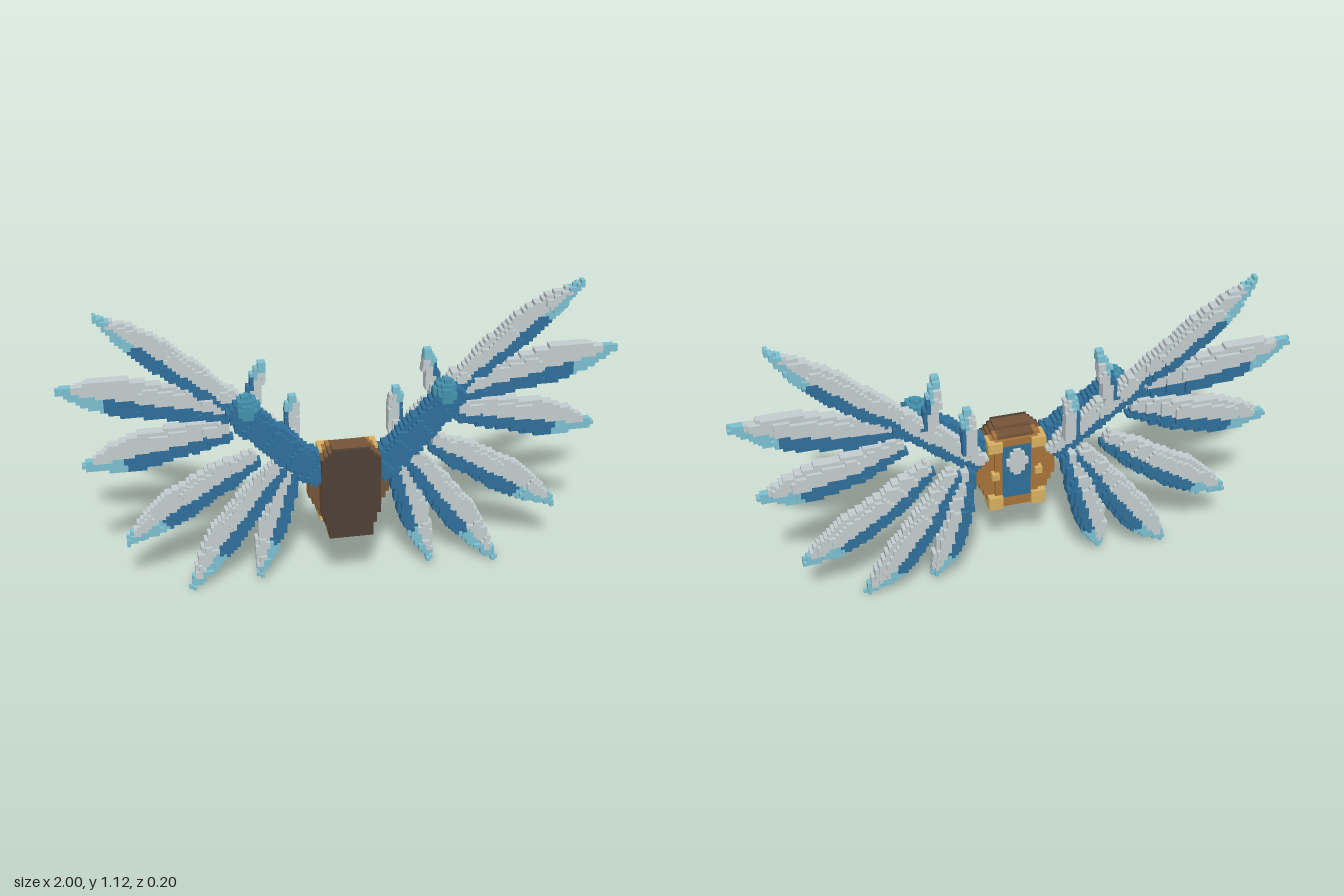
import * as THREE from 'three';

const V = 2 / 150; // voxel edge
const palette = [
  ['paleSteel', 0xc2ccce], ['deepBlue', 0x2f6f9a], ['iceBlue', 0x7cc0d0], ['teal', 0x4391ac],
  ['darkBrown', 0x4f4034], ['brown', 0x755439], ['copper', 0xa8733a], ['gold', 0xd6b060],
];
const [GRAY, BLUE, ICE, TEAL, DARK, BROWN, COPPER, GOLD] = palette.keys();
const NONE = -1;

// piecewise linear lookup in [[t, value], ...]
function ramp(points, t) {
  if (t <= points[0][0]) return points[0][1];
  for (let i = 1; i < points.length; i++) {
    const [t0, a] = points[i - 1], [t1, b] = points[i];
    if (t <= t1) return a + (b - a) * (t - t0) / (t1 - t0);
  }
  return points[points.length - 1][1];
}

// turns a rule (x, y, z) -> colour index into a blocky mesh of its exposed faces
function voxelMesh(name, materials, [x0, x1], [y0, y1], rule) {
  const cells = new Map();
  const key = (c) => c.join();
  for (let i = Math.floor(x0 / V); i < Math.ceil(x1 / V); i++)
    for (let j = Math.max(0, Math.floor(y0 / V)); j < Math.ceil(y1 / V); j++)
      for (let k = -7; k <= 7; k++) {
        const colour = rule((i + 0.5) * V, (j + 0.5) * V, k * V);
        if (colour !== NONE) cells.set(key([i, j, k]), { c: [i, j, k], colour });
      }
  const buckets = palette.map(() => []);
  for (const { c, colour } of cells.values())
    for (let axis = 0; axis < 3; axis++)
      for (const side of [1, -1]) {
        const next = [...c];
        next[axis] += side;
        if (cells.has(key(next))) continue;
        const corners = [[0, 0], [1, 0], [1, 1], [0, 1]].map(([u, v]) => {
          const p = [...c];
          if (side > 0) p[axis] += 1;
          p[(axis + 1) % 3] += u;
          p[(axis + 2) % 3] += v;
          return [p[0] * V, p[1] * V, (p[2] - 0.5) * V];
        });
        if (side < 0) corners.reverse();
        for (const n of [0, 1, 2, 0, 2, 3]) buckets[colour].push(...corners[n]);
      }
  const geometry = new THREE.BufferGeometry();
  geometry.setAttribute('position', new THREE.Float32BufferAttribute(buckets.flat(), 3));
  let start = 0;
  buckets.forEach((b, m) => {
    if (b.length) geometry.addGroup(start, b.length / 3, m);
    start += b.length / 3;
  });
  geometry.computeVertexNormals();
  const mesh = new THREE.Mesh(geometry, materials);
  mesh.name = name;
  return mesh;
}

// blade along a line: the profile gives half width, the z curve bends it
function bladeRule({ from, to, width, outline, zCurve, depth, paint }) {
  const dx = to[0] - from[0], dy = to[1] - from[1], len = Math.hypot(dx, dy);
  return (x, y, z) => {
    const px = x - from[0], py = y - from[1];
    const u = (px * dx + py * dy) / (len * len);
    if (u < 0 || u > 1) return NONE;
    const v = (py * dx - px * dy) / len; // positive on the upper, outer edge
    const half = Math.max(0.009, width * ramp(outline, u));
    if (Math.abs(v) > half) return NONE;
    const thick = ramp(depth, u) * (Math.abs(v) > half * 0.75 ? 0.75 : 1);
    if (Math.abs(z - ramp(zCurve, u)) > thick) return NONE;
    return paint(u, v / half);
  };
}

const featherOutline = [[0, 0.5], [0.25, 0.85], [0.6, 1], [0.8, 0.72], [1, 0.1]];
const featherDepth = [[0, 0.018], [0.3, 0.029], [0.7, 0.029], [1, 0.014]];
const featherPaint = (u, v) => {
  if (u > 0.92) return ICE;
  if (v > -0.1) return GRAY;
  return u > 0.72 ? ICE : BLUE;
};
const spikePaint = (u, v) => (u > 0.82 || (v < -0.2 && u > 0.6) ? ICE : v < -0.4 ? BLUE : GRAY);

// from, to, half width, tip z
const feathers = [
  [[0.37, 0.72], [0.85, 1.11], 0.057, -0.05],
  [[0.41, 0.72], [1.0, 0.84], 0.07, -0.055],
  [[0.41, 0.645], [0.935, 0.535], 0.068, -0.055],
  [[0.32, 0.53], [0.805, 0.21], 0.066, -0.05],
  [[0.23, 0.49], [0.575, 0.0], 0.063, -0.025],
  [[0.185, 0.49], [0.32, 0.03], 0.056, -0.025],
];
const spikes = [
  [[0.33, 0.72], [0.29, 0.905], 0.027, -0.03],
  [[0.19, 0.58], [0.185, 0.765], 0.026, -0.04],
];

function wing(name, side, materials) {
  const group = new THREE.Group();
  group.name = name;
  const add = (part, a, b, pad, rule) => {
    const xs = [side * (Math.min(a[0], b[0]) - pad), side * (Math.max(a[0], b[0]) + pad)].sort((p, q) => p - q);
    const ys = [Math.min(a[1], b[1]) - pad, Math.max(a[1], b[1]) + pad];
    group.add(voxelMesh(part, materials, xs, ys, (x, y, z) => rule(side * x, y, z)));
  };
  // long flight feathers
  feathers.forEach(([from, to, width, tipZ], i) => add(`feather${i + 1}`, from, to, 0.1, bladeRule({
    from, to, width, outline: featherOutline, depth: featherDepth, paint: featherPaint,
    zCurve: [[0, -0.035], [0.35, -0.068], [0.7, -0.07], [1, tipZ]],
  })));
  // short upright feathers on top of the arm
  spikes.forEach(([from, to, width, tipZ], i) => add(`shortFeather${i + 1}`, from, to, 0.05, bladeRule({
    from, to, width, outline: [[0, 1], [0.75, 0.95], [1, 0.3]], depth: [[0, 0.027], [1, 0.016]],
    zCurve: [[0, -0.06], [0.5, -0.07], [1, tipZ]], paint: spikePaint,
  })));
  // arm and the feathered spine behind it
  const root = [0.1, 0.485], elbow = [0.41, 0.755];
  add('arm', root, elbow, 0.08, bladeRule({
    from: root, to: elbow, width: 0.056, outline: [[0, 0.95], [0.5, 1], [0.85, 0.95], [1, 0.5]],
    zCurve: [[0, 0.045], [1, -0.005]], depth: [[0, 0.041], [1, 0.034]], paint: () => BLUE,
  }));
  const spineRoot = [0.13, 0.495], spineEnd = [0.43, 0.77];
  add('armSpine', spineRoot, spineEnd, 0.08, bladeRule({
    from: spineRoot, to: spineEnd, width: 0.046, outline: [[0, 0.7], [0.3, 1], [1, 1]],
    zCurve: [[0, -0.015], [1, -0.06]], depth: [[0, 0.022], [1, 0.03]],
    paint: (u, v) => (v > -0.25 ? GRAY : BLUE),
  }));
  // rounded elbow joint
  const c = [0.355, 0.75];
  add('elbowJoint', c, c, 0.06, (x, y, z) =>
    Math.hypot(x - c[0], y - c[1], z - 0.003) < 0.047 ? TEAL : NONE);
  return group;
}

function backpack(materials) {
  const group = new THREE.Group();
  group.name = 'backpack';
  const add = (part, w, ys, rule) => group.add(voxelMesh(part, materials, [-w, w], ys, rule));
  // main case with a dark front plate
  const caseWidth = [[0.25, 0.075], [0.33, 0.1], [0.56, 0.1], [0.6, 0.065]];
  add('case', 0.12, [0.25, 0.6], (x, y, z) =>
    z < 0.03 || Math.abs(x) > ramp(caseWidth, y) ? NONE : z > 0.09 ? DARK : BROWN);
  // wider rear shell
  const shellWidth = [[0.28, 0.085], [0.33, 0.11], [0.39, 0.14], [0.46, 0.148], [0.5, 0.115], [0.58, 0.085]];
  add('rearShell', 0.16, [0.28, 0.58], (x, y, z) =>
    z < 0 || z > 0.05 || Math.abs(x) > ramp(shellWidth, y) ? NONE : z < 0.03 && Math.abs(x) > 0.07 ? COPPER : BROWN);
  // framed back panel
  add('backPanel', 0.1, [0.29, 0.57], (x, y, z) => {
    if (z > -0.005 || z < -0.02 || Math.abs(x) > 0.085) return NONE;
    return Math.abs(x) > 0.06 || y < 0.32 || y > 0.545 ? COPPER : BLUE;
  });
  // round device on the panel
  add('panelDevice', 0.06, [0.4, 0.56], (x, y, z) =>
    z < 0 && Math.hypot(x / 0.045, (y - 0.48) / 0.06, (z + 0.01) / 0.028) < 1 ? GRAY : NONE);
  // corner studs and small side clasps
  const studs = [[0.08, 0.305, 0.024], [0.08, 0.555, 0.024], [0.08, 0.43, 0.014]];
  add('cornerStuds', 0.12, [0.27, 0.59], (x, y, z) =>
    z > -0.03 && z < 0.03 && studs.some(([sx, sy, r]) =>
      Math.max(Math.abs(Math.abs(x) - sx), Math.abs(y - sy)) < r) ? GOLD : NONE);
  return group;
}

export function createModel() {
  const materials = palette.map(([name, color]) => {
    const material = new THREE.MeshStandardMaterial({ color });
    material.name = name;
    return material;
  });
  const model = new THREE.Group();
  model.name = 'mechanicalWings';
  model.add(backpack(materials), wing('leftWing', 1, materials), wing('rightWing', -1, materials));
  return model;
}
